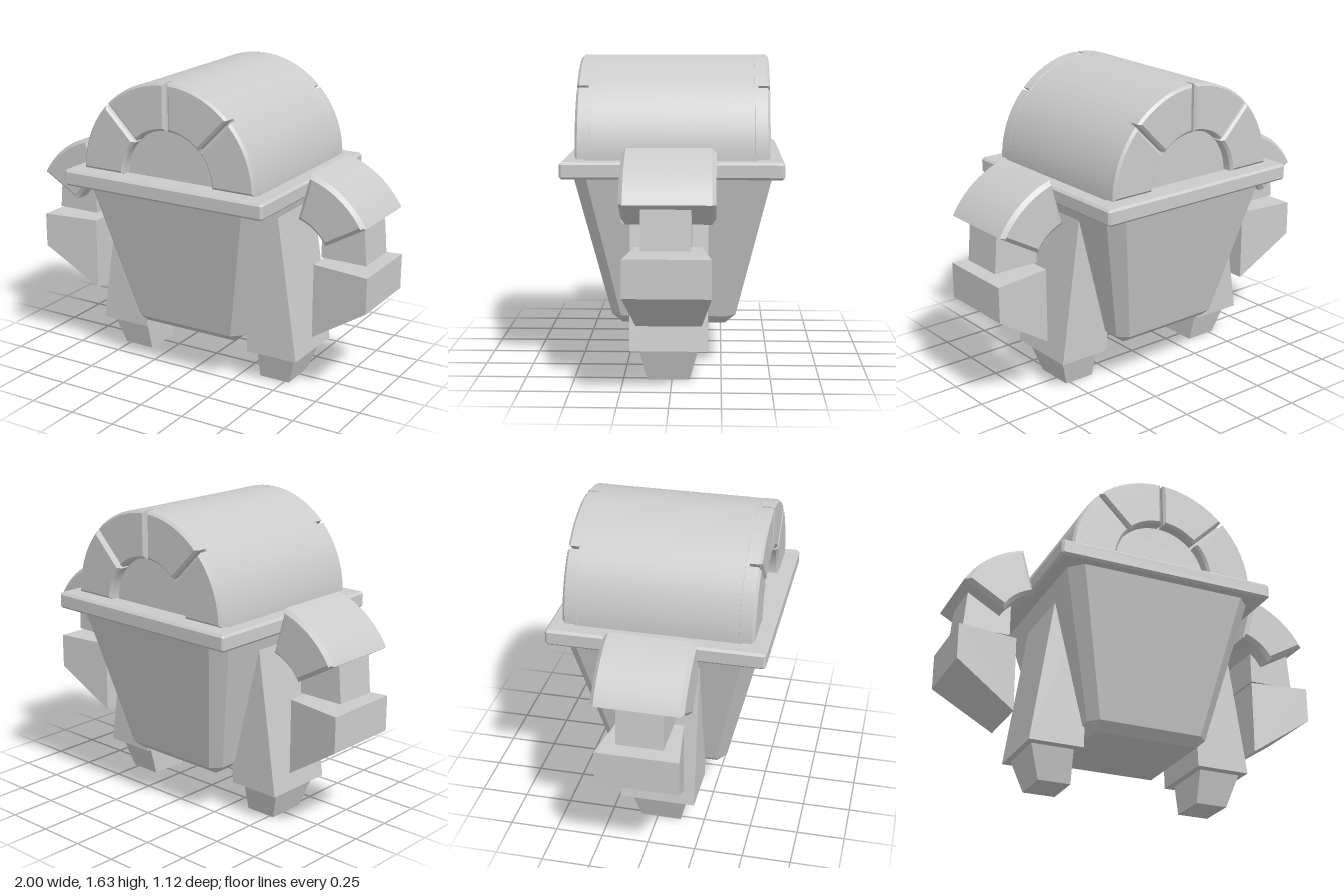
import * as THREE from 'three';
import { ConvexGeometry } from 'three/addons/geometries/ConvexGeometry.js';
import { toCreasedNormals } from 'three/addons/utils/BufferGeometryUtils.js';

const smooth = new THREE.MeshStandardMaterial({ color: 0xcccccc });
const flat = new THREE.MeshStandardMaterial({ color: 0xcccccc, flatShading: true });
const rad = THREE.MathUtils.degToRad;

// Flat-sided solid spanned by its corner points; s = -1 mirrors it in x
function solid(name, points, s = 1) {
  const geo = new ConvexGeometry(points.map(([x, y, z]) => new THREE.Vector3(x * s, y, z)));
  const mesh = new THREE.Mesh(geo, flat);
  mesh.name = name;
  return mesh;
}

// Corners of a level rectangle
const rectY = (y, x0, x1, z0, z1) => [[x0, y, z0], [x1, y, z0], [x1, y, z1], [x0, y, z1]];
// Corners of an upright rectangle facing sideways
const rectX = (x, y0, y1, z0, z1) => [[x, y0, z0], [x, y1, z0], [x, y1, z1], [x, y0, z1]];
// Corners of a level octagon: half width, half depth, corner cut
function octagon(y, w, d, c) {
  const pts = [];
  for (const sx of [-1, 1]) for (const sz of [-1, 1]) {
    pts.push([sx * w, y, sz * (d - c)], [sx * (w - c), y, sz * d]);
  }
  return pts;
}

// Ring sector between angles a0 and a1, its ends pulled in by a parallel gap
function sector(r, R, a0, a1, gap = 0) {
  const i = Math.asin(gap / r), o = Math.asin(gap / R);
  const shape = new THREE.Shape();
  shape.absarc(0, 0, R, a0 + o, a1 - o, false);
  shape.absarc(0, 0, r, a1 - i, a0 + i, true);
  shape.closePath();
  return shape;
}

// Extrusion from z0 to z1 with bevels cut into the outline
function extrude(name, shape, z0, z1, bevel) {
  const geo = new THREE.ExtrudeGeometry(shape, {
    depth: z1 - z0 - 2 * bevel, curveSegments: 20, bevelEnabled: bevel > 0,
    bevelSize: bevel, bevelThickness: bevel, bevelOffset: -bevel, bevelSegments: 1,
  });
  geo.translate(0, 0, z0 + bevel);
  const mesh = new THREE.Mesh(toCreasedNormals(geo, rad(25)), smooth);
  mesh.name = name;
  return mesh;
}

export function createModel() {
  const model = new THREE.Group();
  model.name = 'roundHeadedRobot';

  // Domed head: half barrel with four raised panels around each end
  const head = new THREE.Group();
  head.name = 'head';
  head.position.y = 1.12;
  const half = new THREE.Shape();
  half.absarc(0, 0, 0.509, 0, Math.PI, false);
  half.closePath();
  const barrel = new THREE.ExtrudeGeometry(half, { depth: 0.86, curveSegments: 80, bevelEnabled: false });
  barrel.translate(0, 0, -0.43);
  const core = new THREE.Mesh(toCreasedNormals(barrel, rad(25)), smooth);
  core.name = 'headBarrel';
  head.add(core);
  for (let i = 0; i < 4; i++) {
    const shape = sector(0.265, 0.51, i * Math.PI / 4, (i + 1) * Math.PI / 4, 0.007);
    head.add(extrude('frontHeadPanel', shape, 0.4, 0.49, 0.013));
    head.add(extrude('backHeadPanel', shape, -0.49, -0.4, 0.013));
  }
  model.add(head);

  // Collar plate with chamfered edges
  const b = 0.012;
  const collar = [];
  for (const sx of [-1, 1]) for (const sy of [-1, 1]) for (const sz of [-1, 1]) {
    for (const [i, j, k] of [[0, b, b], [b, 0, b], [b, b, 0]]) {
      collar.push([sx * (0.592 - i), 1.078 + sy * (0.043 - j), sz * (0.56 - k)]);
    }
  }
  model.add(solid('collar', collar));

  // Tapering body with cut corners
  model.add(solid('body', [
    ...octagon(1.05, 0.519, 0.507, 0.07),
    ...octagon(0.285, 0.33, 0.325, 0.05),
    ...rectY(0.24, -0.28, 0.28, -0.27, 0.27),
  ]));

  for (const s of [1, -1]) {
    const side = s > 0 ? 'left' : 'right';

    // Leg and foot
    model.add(solid(side + 'Leg', [
      ...rectY(0.17, 0.32, 0.61, -0.182, 0.215),
      ...rectY(1.04, 0.3, 0.478, -0.182, 0.215),
    ], s));
    model.add(solid(side + 'Foot', [
      ...rectY(0, 0.352, 0.525, -0.09, 0.125),
      ...rectY(0.17, 0.355, 0.58, -0.133, 0.168),
    ], s));

    // Curved shoulder guard
    const [a0, a1] = s > 0 ? [30, 75] : [105, 150];
    const shoulder = extrude(side + 'Shoulder', sector(0.25, 0.503, rad(a0), rad(a1)), -0.222, 0.24, 0.02);
    shoulder.position.set(0.549 * s, 0.718, 0);
    model.add(shoulder);

    // Upper arm and wedge-shaped forearm
    model.add(solid(side + 'UpperArm', [
      ...rectY(0.747, 0.705, 0.955, -0.105, 0.137),
      ...rectY(0.98, 0.705, 0.935, -0.105, 0.137),
    ], s));
    model.add(solid(side + 'Forearm', [
      ...rectX(1, 0.528, 0.717, -0.202, 0.224),
      ...rectX(0.682, 0.318, 0.717, -0.152, 0.177),
    ], s));
  }
  return model;
}
